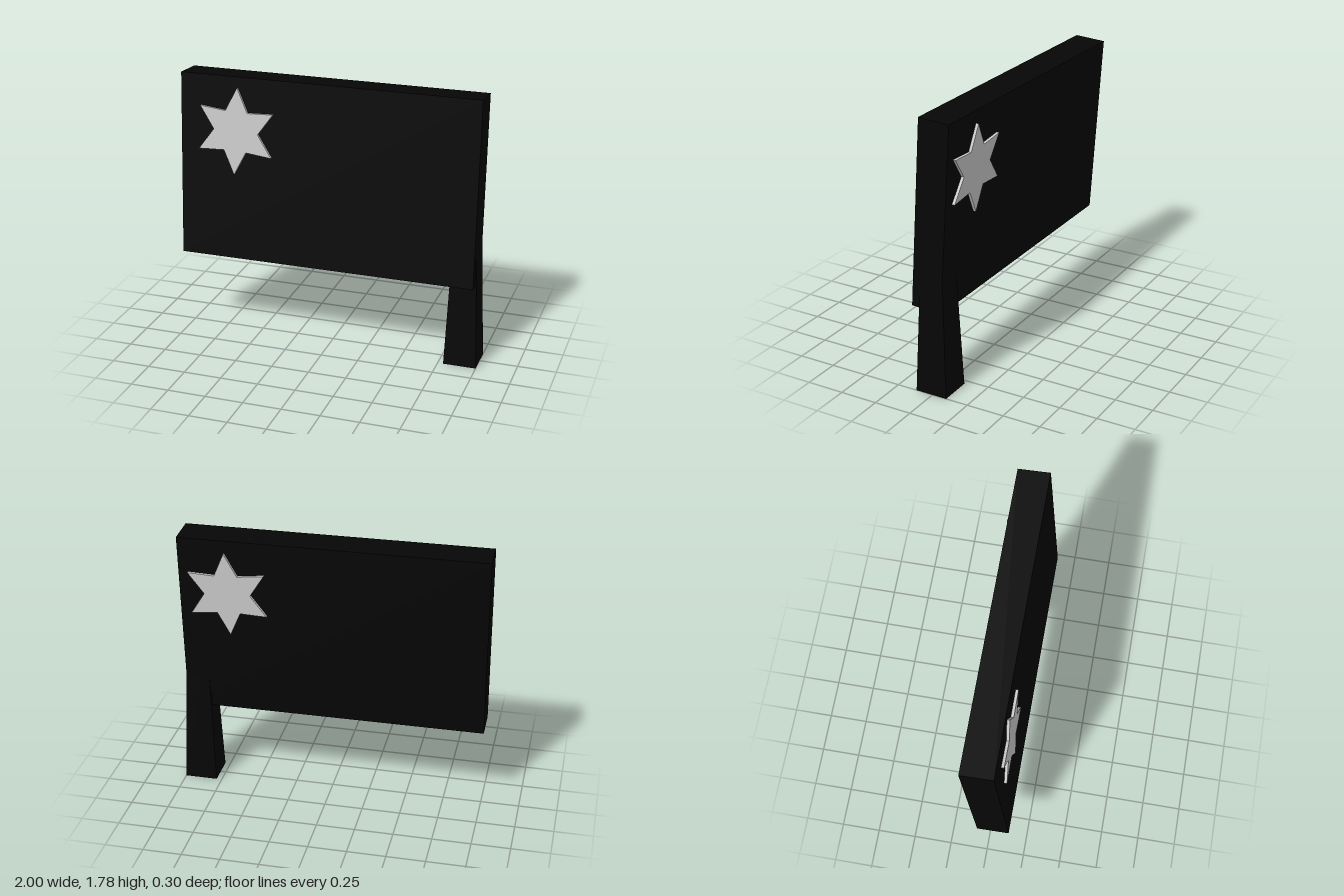
import * as THREE from 'three';

const dark = new THREE.MeshStandardMaterial({ color: 0x060606, flatShading: true });
const grey = new THREE.MeshStandardMaterial({ color: 0xcccccc, flatShading: true });

function addMesh(parent, name, geometry, material) {
  const mesh = new THREE.Mesh(geometry, material);
  mesh.name = name;
  parent.add(mesh);
  return mesh;
}

// Six-pointed star, turned slightly clockwise
function starGeometry(outer, inner, depth) {
  const points = [];
  for (let i = 0; i < 12; i++) {
    const r = i % 2 ? inner : outer;
    const a = THREE.MathUtils.degToRad(88 - i * 30);
    points.push(new THREE.Vector2(r * Math.cos(a), r * Math.sin(a)));
  }
  const geometry = new THREE.ExtrudeGeometry(new THREE.Shape(points), { depth, bevelEnabled: false });
  return geometry.translate(0, 0, -depth / 2);
}

// Box whose cross-section narrows towards the top, standing on y = 0
function taperedBox(bottom, top, height) {
  const geometry = new THREE.BoxGeometry(1, height, 1).translate(0, height / 2, 0);
  const p = geometry.attributes.position;
  for (let i = 0; i < p.count; i++) {
    const size = p.getY(i) > height / 2 ? top : bottom;
    p.setX(i, p.getX(i) * size);
    p.setZ(i, p.getZ(i) * size);
  }
  geometry.computeVertexNormals();
  return geometry;
}

export function createModel() {
  const model = new THREE.Group();
  model.name = 'cleaver';

  // Blade block leaning back a little, with a star on each face
  const blade = new THREE.Group();
  blade.name = 'blade';
  blade.position.set(-0.015, 1.163, 0.007);
  blade.rotation.x = THREE.MathUtils.degToRad(-3.75);
  model.add(blade);
  const depth = 0.206;
  addMesh(blade, 'bladeBlock', new THREE.BoxGeometry(1.97, 1.215, depth), dark);

  const star = starGeometry(0.286, 0.15, 0.036);
  addMesh(blade, 'frontStar', star, grey).position.set(-0.605, 0.254, depth / 2);
  addMesh(blade, 'backStar', star, grey).position.set(0.67, 0.241, -depth / 2);

  // Handle, running up into the blade
  addMesh(model, 'handle', taperedBox(0.214, 0.14, 1), dark).position.set(0.893, 0, 0.008);

  return model;
}
